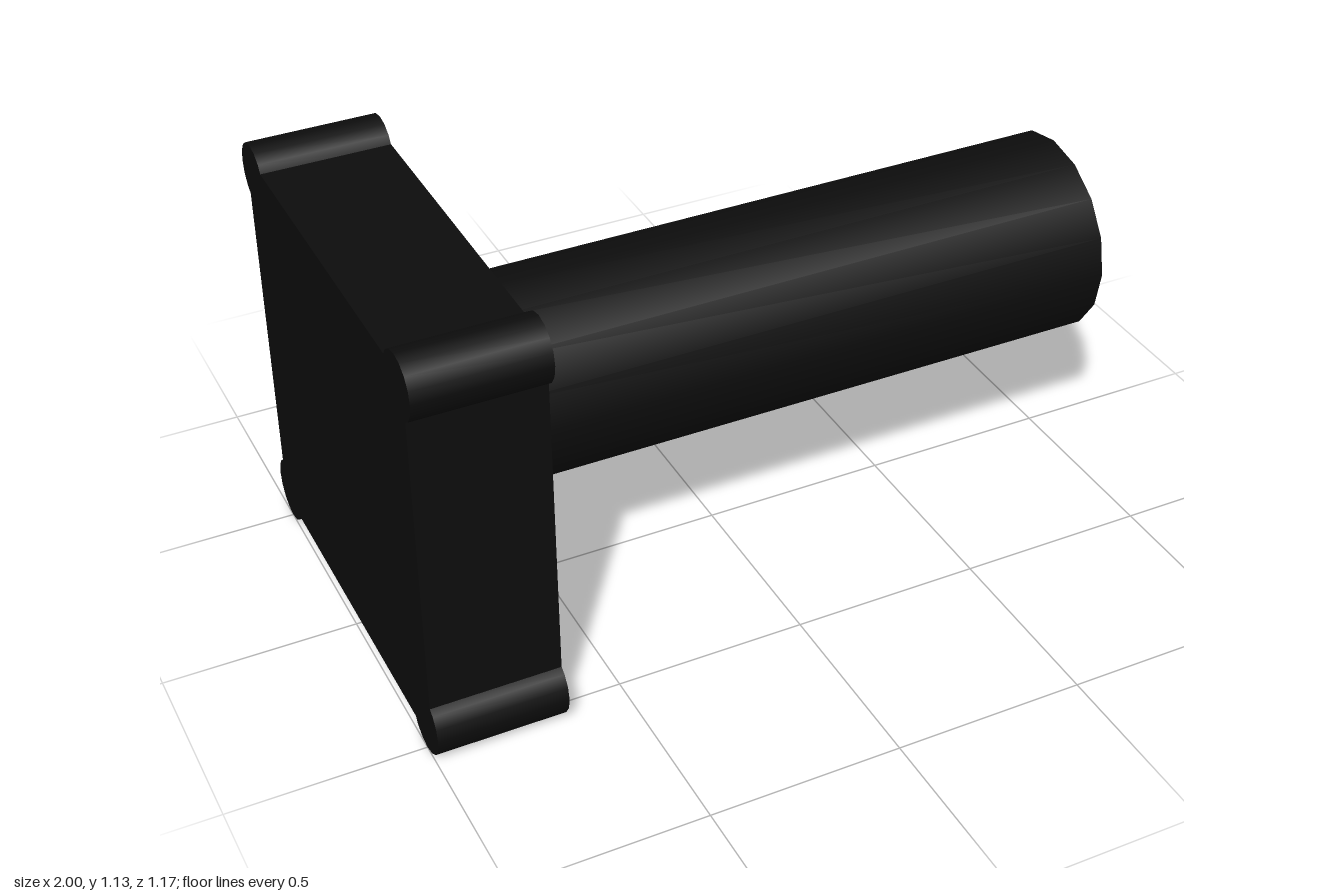
import * as THREE from 'three';

export function createModel() {
  const model = new THREE.Group();
  const black = new THREE.MeshStandardMaterial({ color: 0x0d0d0d });
  black.name = 'black';
  const blackOpen = black.clone();
  blackOpen.side = THREE.DoubleSide;
  blackOpen.name = 'black open tube';

  const add = (name, geometry, material, x, y, z) => {
    const mesh = new THREE.Mesh(geometry, material);
    mesh.name = name;
    mesh.position.set(x, y, z);
    model.add(mesh);
  };
  // Cylinder lying along x
  const rod = (radius, length, open) =>
    new THREE.CylinderGeometry(radius, radius, length, 16, 1, open).rotateZ(-Math.PI / 2);

  const plateX = -0.8333, plateDepth = 0.3333;

  // Square base plate
  add('basePlate', new THREE.BoxGeometry(plateDepth, 1.0417, 1.0833), black, plateX, 0.5625, 0);

  // Round posts on the four corners of the plate
  const post = rod(0.0833, plateDepth, false);
  for (const [row, y] of [['lower', 0.0833], ['upper', 1.0433]]) {
    for (const [side, z] of [['Front', 0.5], ['Back', -0.5]]) {
      add(`${row}${side}CornerPost`, post, black, plateX, y, z);
    }
  }

  // Open tube projecting from the plate
  add('tube', rod(0.267, 1.6667, true), blackOpen, 0.1667, 0.628, 0);

  return model;
}
